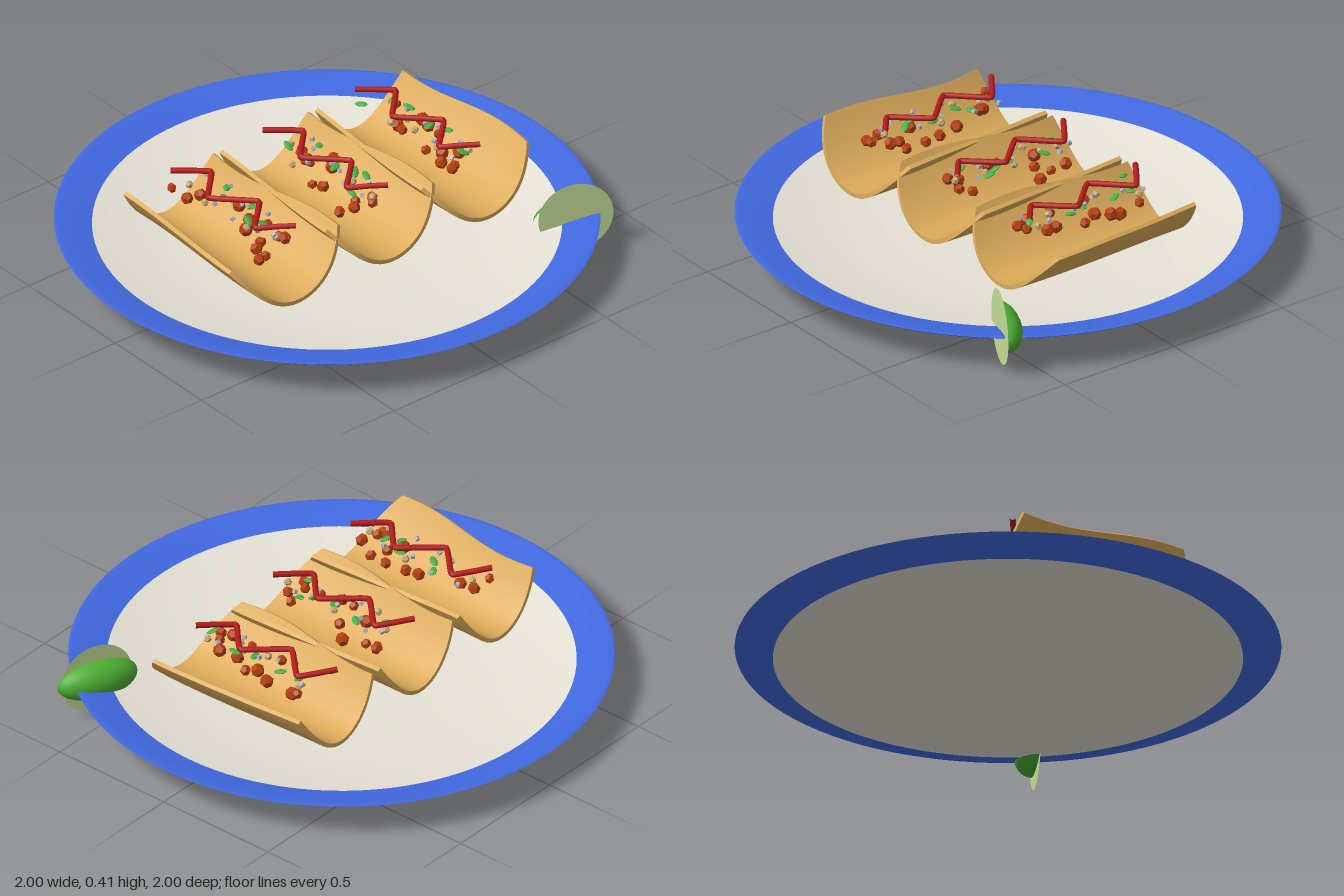
import * as THREE from 'three';

const material = (name, color, extra = {}) =>
  Object.assign(new THREE.MeshStandardMaterial({ color, ...extra }), { name });

const white = material('offWhiteGlaze', 0xe6e2d6);
const blue = material('blueGlaze', 0x4169e1);
const tortilla = material('toastedTortilla', 0xdcab5a);
const meat = material('seasonedMeat', 0xb5400f, { flatShading: true });
const salsa = material('redSalsa', 0xb71c1c);
const leaf = material('herbGreen', 0x43b043, { flatShading: true });
const corn = material('paleTan', 0xc8ab78, { flatShading: true });
const onion = material('paleOnion', 0xb4b8c6, { flatShading: true });
const rind = material('limeRind', 0x4caf32);
const flesh = material('limeFlesh', 0xc5dd96, { side: THREE.DoubleSide });

function add(parent, name, geometry, mat, pos = [0, 0, 0]) {
  const mesh = new THREE.Mesh(geometry, mat);
  mesh.name = name;
  mesh.position.set(...pos);
  parent.add(mesh);
  return mesh;
}

// Seeded pseudo-random numbers in 0..1
let seed = 7;
const rand = () => (seed = (seed * 16807) % 2147483647) / 2147483647;

const lathe = (points) =>
  new THREE.LatheGeometry(points.map(([r, y]) => new THREE.Vector2(r, y)), 96);

// Shallow dish with a coloured sloping rim
function makePlate() {
  const plate = new THREE.Group();
  plate.name = 'plate';
  add(plate, 'plateUnderside', lathe([[0, 0.025], [0.35, 0.027], [0.57, 0.038], [0.72, 0.068], [0.86, 0.102]]), white);
  add(plate, 'plateTop', lathe([[0.865, 0.121], [0.72, 0.09], [0.55, 0.07], [0.3, 0.058], [0, 0.055]]), white);
  add(plate, 'rimUnderside', lathe([[0.86, 0.102], [0.93, 0.121], [0.99, 0.14], [1, 0.147]]), blue);
  add(plate, 'rimTop', lathe([[1, 0.147], [0.985, 0.15], [0.93, 0.139], [0.86, 0.122]]), blue);
  return plate;
}

// Curved shell: a thin box bent into a trough with wavy sides and rounded corners
function shellGeometry(phase) {
  const geo = new THREE.BoxGeometry(2, 1, 2, 32, 1, 24);
  const p = geo.attributes.position;
  for (let i = 0; i < p.count; i++) {
    const u = p.getX(i), t = p.getY(i), w = p.getZ(i);
    const cut = (w > 0 ? 0.08 : 0.025) * Math.abs(u) ** 4;
    const z = w * (0.385 - cut);
    const half = 0.232 + 0.025 * Math.sin(z * 6 + phase);
    const slope = 1.5 * u;
    const n = Math.hypot(1, slope);
    const off = t * 0.016;
    const wave = 0.008 * u * u * Math.sin(z * 9 + phase);
    p.setXYZ(i, u * half - (off * slope) / n, 0.155 + 0.185 * u * u + wave + off / n, z);
  }
  geo.computeVertexNormals();
  return geo;
}

// Zigzag drizzle of sauce over the filling
function drizzleGeometry() {
  const zs = [-0.3, -0.21, -0.08, 0.06, 0.18, 0.23, 0.28];
  const xs = [-0.06, 0.06, -0.06, 0.065, -0.055, 0.0, 0.06];
  const points = zs.map((z, i) => new THREE.Vector3(xs[i], 0.393 + 0.008 * Math.cos(z * 22), z));
  const curve = new THREE.CatmullRomCurve3(points, false, 'catmullrom', 0.12);
  return new THREE.TubeGeometry(curve, 90, 0.011, 8);
}

// Filling positions (x, z), relative to the centre of each filling
const meatSpots = [
  [[-0.07, -0.28], [-0.03, -0.24], [0.0, -0.2], [0.06, -0.05], [-0.03, 0.1], [-0.07, 0.21], [-0.09, 0.25],
    [0.06, 0.18], [0.04, 0.24], [0.05, 0.02], [-0.01, 0.16], [-0.06, 0.25], [0.07, 0.1]],
  [[0.06, -0.22], [0.08, -0.06], [0.09, -0.08], [-0.06, 0.05], [-0.08, 0.17], [-0.06, 0.23], [0.05, 0.2],
    [0.02, 0.24], [0.0, -0.12], [-0.03, 0.2], [0.05, -0.16], [-0.07, 0.0]],
  [[0.07, -0.22], [0.08, -0.08], [-0.05, 0.1], [-0.05, 0.25], [0.04, 0.18], [-0.02, 0.23], [0.07, 0.03],
    [0.03, -0.16], [-0.06, 0.2], [0.01, 0.12], [0.06, -0.02], [-0.04, -0.05]],
];
const leafSpots = [
  [[0.06, -0.12], [0.01, -0.08], [-0.02, 0.1], [0.01, 0.15], [0.05, 0.05]],
  [[-0.02, -0.2], [0.06, -0.12], [0.02, 0.02], [0.05, 0.1], [0.07, 0.14], [-0.04, 0.19]],
  [[-0.07, -0.25], [0.04, -0.2], [0.05, -0.12], [0.03, 0.02], [0.06, 0.09], [0.01, 0.24]],
];

function makeFilling(index) {
  const filling = new THREE.Group();
  filling.name = 'filling';
  const spin = (mesh) => mesh.rotation.set(rand() * 3, rand() * 6, rand() * 3);
  for (const [x, z] of meatSpots[index]) {
    spin(add(filling, 'meatChunk', new THREE.DodecahedronGeometry(0.019 + 0.008 * rand()), meat,
      [x, 0.275 + 0.07 * rand(), z]));
  }
  for (const [x, z] of leafSpots[index]) {
    const mesh = add(filling, 'herbLeaf', new THREE.SphereGeometry(0.026, 8, 6), leaf,
      [x, 0.362 + 0.012 * rand(), z]);
    mesh.scale.set(1, 0.22, 0.55);
    mesh.rotation.set(0.3 * rand(), rand() * 6, 0.4 * rand());
  }
  for (let i = 0; i < 5; i++) {
    spin(add(filling, 'tanCrumb', new THREE.DodecahedronGeometry(0.015), corn,
      [(rand() - 0.5) * 0.14, 0.345 + 0.015 * rand(), -0.25 + i * 0.12 + 0.03 * rand()]));
  }
  for (let i = 0; i < 9; i++) {
    spin(add(filling, 'onionDice', new THREE.BoxGeometry(0.014, 0.014, 0.014), onion,
      [(rand() - 0.5) * 0.16, 0.36 + 0.015 * rand(), -0.24 + i * 0.06]));
  }
  add(filling, 'salsaDrizzle', drizzleGeometry(), salsa);
  return filling;
}

// Lime wedge: a round cut face with a narrower half-ellipsoid rind behind it
function makeLime() {
  const lime = new THREE.Group();
  lime.name = 'limeWedge';
  add(lime, 'limeCutFace', new THREE.CircleGeometry(0.142, 48), flesh);
  const back = add(lime, 'limeRind',
    new THREE.SphereGeometry(1, 32, 20, Math.PI, Math.PI), rind);
  back.scale.set(0.16, 0.077, 0.078);
  lime.position.set(0.705, 0.147, 0.575);
  lime.rotation.y = -0.43;
  return lime;
}

export function createModel() {
  const model = new THREE.Group();
  model.name = 'tacoPlate';
  model.add(makePlate());
  [-1, 0, 1].forEach((side, i) => {
    const taco = new THREE.Group();
    taco.name = 'taco';
    add(taco, 'tortillaShell', shellGeometry(i * 0.25), tortilla, [side * 0.45, 0, 0]);
    const filling = makeFilling(i);
    filling.position.x = side * 0.435;
    taco.add(filling);
    model.add(taco);
  });
  model.add(makeLime());
  return model;
}
